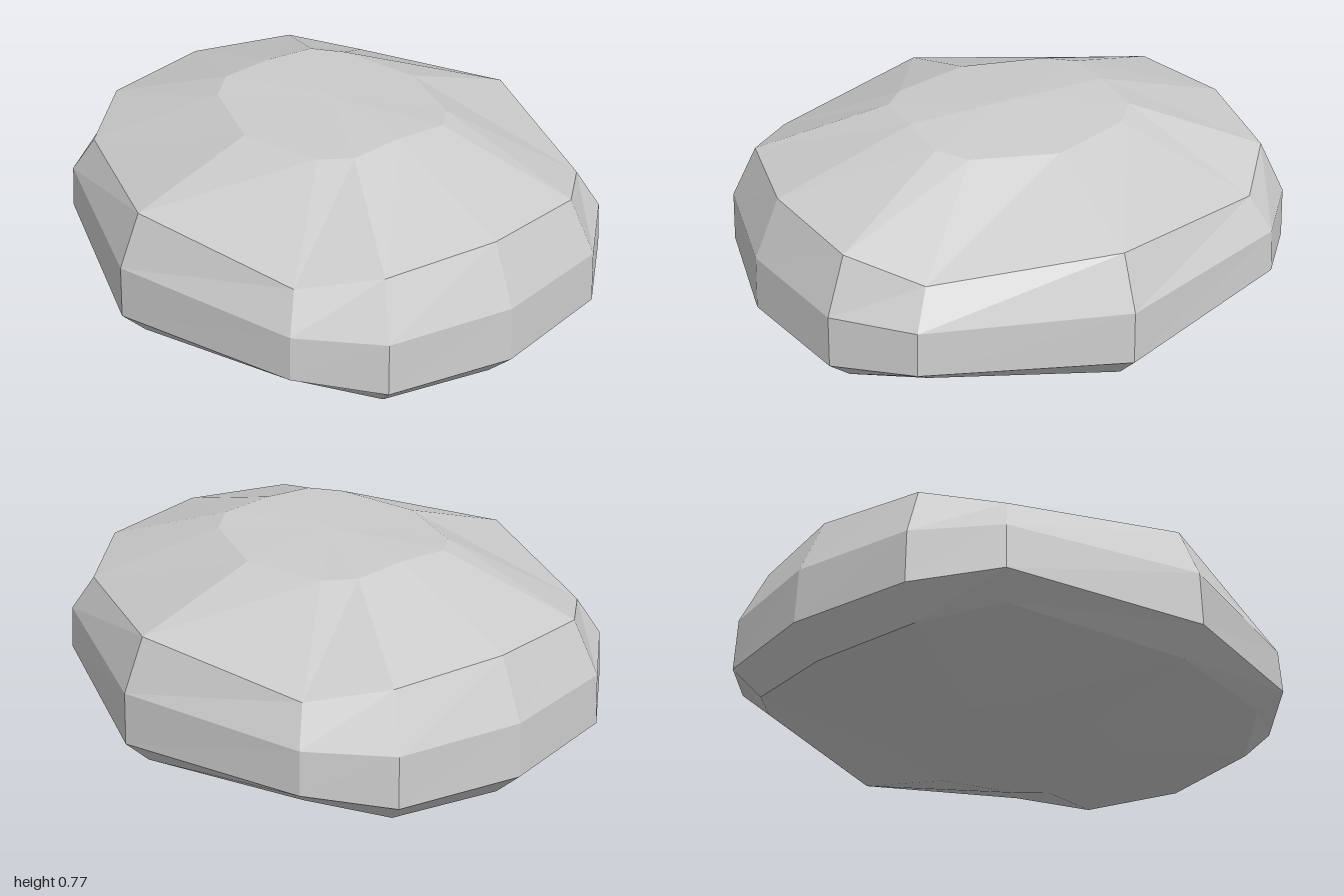
import * as THREE from 'three';

// Each ring lists one quarter of its corners, running from +z round to +x.
const RINGS = [
  [[0, 0, 0.38], [0.3, 0.005, 0.29], [0.385, 0, 0.195], [0.385, 0, 0]],                // base
  [[0, 0.1, 0.825], [0.63, 0.16, 0.63], [0.825, 0.1, 0.41], [0.895, 0.08, 0]],         // lower bevel
  [[0, 0.195, 0.915], [0.7, 0.235, 0.7], [0.915, 0.195, 0.46], [1, 0.185, 0]],         // widest girdle
  [[0, 0.39, 0.908], [0.693, 0.395, 0.693], [0.908, 0.385, 0.455], [0.99, 0.385, 0]],  // side
  [[0, 0.58, 0.825], [0.63, 0.525, 0.63], [0.825, 0.58, 0.41], [0.895, 0.6, 0]],       // shoulder
  [[0, 0.735, 0.38], [0.3, 0.742, 0.29], [0.385, 0.752, 0.195], [0.385, 0.764, 0]],    // top facet
];

// Mirror a quarter into the full twelve-sided ring.
function fullRing([a, b, c, d]) {
  const flip = ([x, y, z], sx, sz) => [x * sx, y, z * sz];
  return [
    a, b, c, d,
    flip(c, 1, -1), flip(b, 1, -1), flip(a, 1, -1), flip(b, -1, -1),
    flip(c, -1, -1), flip(d, -1, 1), flip(c, -1, 1), flip(b, -1, 1),
  ];
}

function stoneGeometry() {
  const rings = RINGS.map(fullRing);
  const n = rings[0].length;
  const positions = rings.flat(2);
  const index = [];

  // Bands between neighbouring rings.
  for (let r = 0; r < rings.length - 1; r++) {
    for (let i = 0; i < n; i++) {
      const j = (i + 1) % n;
      const a = r * n + i, b = r * n + j, c = (r + 1) * n + j, d = (r + 1) * n + i;
      index.push(a, b, c, a, c, d);
    }
  }

  // Fans closing the underside and the top.
  const bottom = rings.length * n, top = bottom + 1, last = (rings.length - 1) * n;
  positions.push(0, 0, 0, 0, 0.767, 0);
  for (let i = 0; i < n; i++) {
    const j = (i + 1) % n;
    index.push(bottom, j, i, top, last + i, last + j);
  }

  const geometry = new THREE.BufferGeometry();
  geometry.setAttribute('position', new THREE.Float32BufferAttribute(positions, 3));
  geometry.setIndex(index);
  const flat = geometry.toNonIndexed();
  flat.computeVertexNormals();
  return flat;
}

export function createModel() {
  const group = new THREE.Group();
  group.name = 'stone';
  const material = new THREE.MeshStandardMaterial({ color: 0xcccccc, flatShading: true });
  const body = new THREE.Mesh(stoneGeometry(), material);
  body.name = 'facetedStone';
  group.add(body);
  return group;
}
